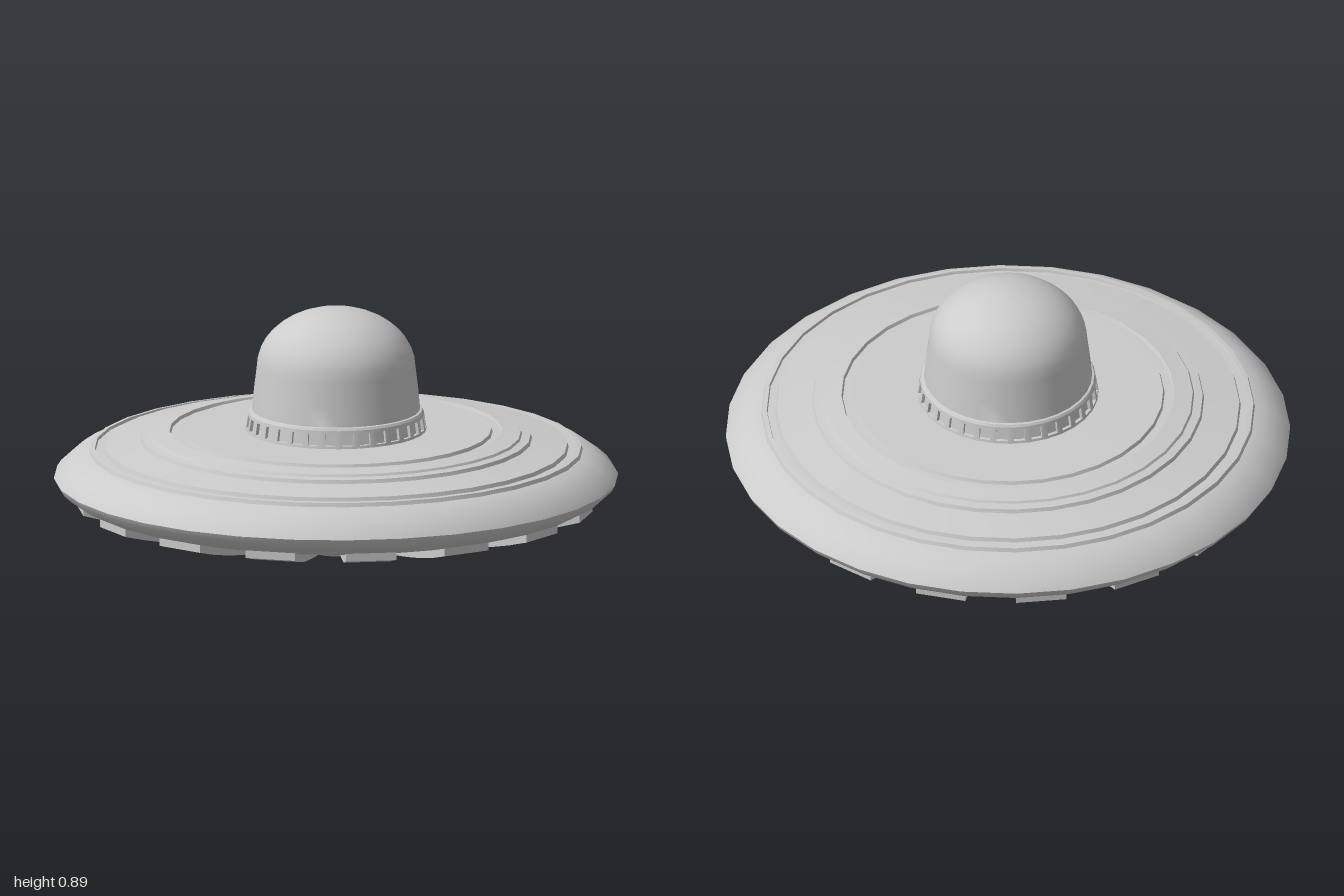
import * as THREE from 'three';
import { toCreasedNormals } from 'three/addons/utils/BufferGeometryUtils.js';

const SIDES = 32;
const STEP = (Math.PI * 2) / SIDES;
const CREASE = 0.5;
const grey = new THREE.MeshStandardMaterial({ color: 0xcccccc });

function addMesh(parent, name, geometry) {
  const mesh = new THREE.Mesh(toCreasedNormals(geometry, CREASE), grey);
  mesh.name = name;
  parent.add(mesh);
}

// Surface of revolution; profile runs so that its outside is on the right
function lathe(profile) {
  return new THREE.LatheGeometry(profile.map(([r, y]) => new THREE.Vector2(r, y)), SIDES);
}

function quad(out, a, b, c, d) {
  for (const v of [a, b, c, a, c, d]) out.push(v.x, v.y, v.z);
}

// One segment of a ring between profile points p and q. Its inset middle
// is moved by [dr, dy], which sinks it as a window or raises it as a rib.
function panel(out, p, q, i, [iu, iv] = [0, 0], [dr, dy] = [0, 0]) {
  const at = ([r, y], t) => new THREE.Vector3(r * Math.sin(t), y, r * Math.cos(t));
  const t0 = i * STEP, t1 = t0 + STEP;
  const outer = [at(p, t0), at(p, t1), at(q, t1), at(q, t0)];
  const mix = (u, v) => outer[0].clone().lerp(outer[1], u)
    .lerp(outer[3].clone().lerp(outer[2], u), v);
  const inner = [mix(iu, iv), mix(1 - iu, iv), mix(1 - iu, 1 - iv), mix(iu, 1 - iv)];
  const mid = t0 + STEP / 2;
  const move = new THREE.Vector3(dr * Math.sin(mid), dy, dr * Math.cos(mid));
  const moved = inner.map((v) => v.clone().add(move));
  quad(out, ...moved);
  for (let k = 0; k < 4; k++) {
    const n = (k + 1) % 4;
    if (iu > 0) quad(out, outer[k], outer[n], inner[n], inner[k]);
    if (dr || dy) quad(out, inner[k], inner[n], moved[n], moved[k]);
  }
}

function fromTriangles(points) {
  const geometry = new THREE.BufferGeometry();
  geometry.setAttribute('position', new THREE.Float32BufferAttribute(points, 3));
  geometry.computeVertexNormals();
  return geometry;
}

export function createModel() {
  const group = new THREE.Group();

  // Rounded rim and stepped, grooved upper deck
  addMesh(group, 'upperHull', lathe([
    [0.92, 0.212], [0.965, 0.237], [0.99, 0.26], [1, 0.28], [0.985, 0.302], [0.95, 0.333],
    [0.91, 0.36], [0.875, 0.371], [0.87, 0.385], [0.855, 0.387], [0.852, 0.377],
    [0.825, 0.379], [0.82, 0.393], [0.695, 0.413], [0.69, 0.426], [0.66, 0.43],
    [0.655, 0.438], [0.59, 0.448], [0.585, 0.437], [0.555, 0.438], [0.55, 0.45], [0.28, 0.452],
  ]));

  // Underside: slotted ring near the hub, then ribs alternating with bays
  const under = [
    [0.17, 0.098], [0.36, 0.108], [0.47, 0.122], [0.6, 0.141],
    [0.72, 0.162], [0.83, 0.187], [0.92, 0.212],
  ];
  const belly = [], ribs = [];
  for (let i = 0; i < SIDES; i++) {
    for (let k = 0; k < under.length - 1; k++) {
      const p = under[k], q = under[k + 1];
      if (k === 0) panel(belly, p, q, i, [0.22, 0.06], [0, 0.03]);
      else if (i % 2 === 1) panel(ribs, p, q, i, [0, 0], [0, -0.028]);
      else if (k === 4) panel(belly, p, q, i, [0.17, 0.1], [0, 0.025]);
      else panel(belly, p, q, i);
    }
  }
  addMesh(group, 'underside', fromTriangles(belly));
  addMesh(group, 'undersideRibs', fromTriangles(ribs));

  // Dish-shaped hub with a small dimple at the bottom
  addMesh(group, 'bottomHub', lathe([
    [0, 0.014], [0.035, 0.012], [0.045, 0.002], [0.08, 0.005], [0.13, 0.022],
    [0.188, 0.05], [0.19, 0.07], [0.17, 0.075], [0.17, 0.1],
  ]));

  // Window band at the foot of the dome
  const band = [];
  for (let i = 0; i < SIDES; i++) {
    panel(band, [0.321, 0.45], [0.311, 0.515], i, [0.18, 0.17], [-0.012, 0]);
  }
  addMesh(group, 'windowBand', fromTriangles(band));

  // Tall rounded dome
  const cap = [];
  for (let k = 0; k <= 10; k++) {
    const a = (k / 10) * Math.PI / 2;
    cap.push([0.281 * Math.cos(a), 0.68 + 0.21 * Math.sin(a)]);
  }
  cap[10][0] = 0;
  addMesh(group, 'dome', lathe([
    [0.311, 0.515], [0.306, 0.523], [0.298, 0.525], [0.291, 0.6], ...cap,
  ]));

  return group;
}
